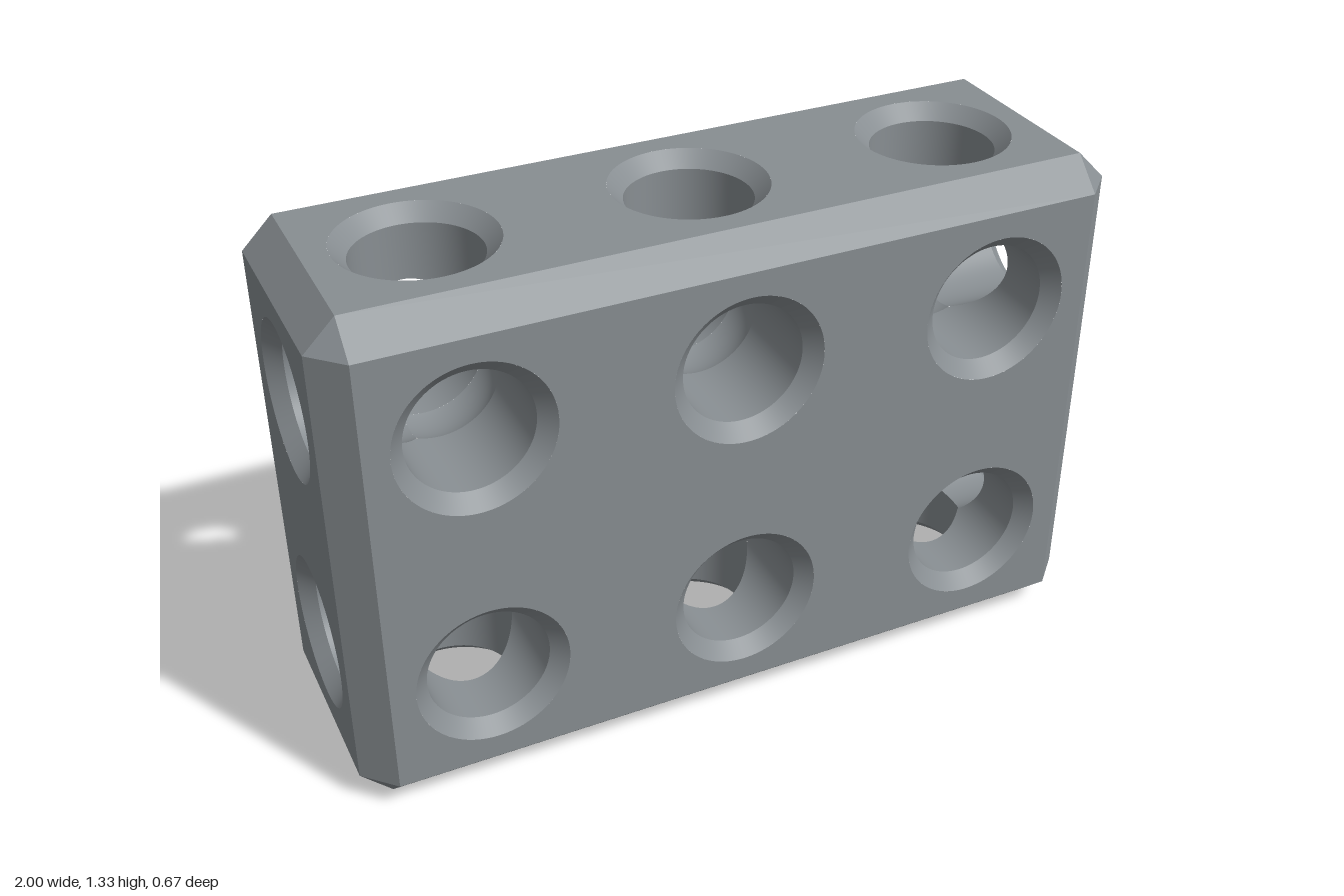
import * as THREE from 'three';
import { ConvexGeometry } from 'three/addons/geometries/ConvexGeometry.js';

const CELL = 2 / 3;                          // block is 3 x 2 x 1 cubic cells
const HALF = new THREE.Vector3(1, CELL, CELL / 2);
const CHAMFER = 0.077, BORE = 0.155, RIM = 0.193, SINK = 0.038;
const BALL = 0.165;                          // spherical pocket where bores meet
const BAND = Math.sqrt(BALL * BALL - BORE * BORE);
const SEGMENTS = 96;
const UP = new THREE.Vector3(0, 1, 0);
const material = new THREE.MeshStandardMaterial({ color: 0x888e92 });

const axis = (k, sign = 1) => new THREE.Vector3().setComponent(k, sign);

// Cells with the directions in which a bore leaves through an outer face
function makeCells() {
  const cells = [];
  for (const i of [-1, 0, 1]) for (const j of [-1, 1]) {
    const dirs = [axis(2, 1), axis(2, -1), axis(1, j)];
    if (i) dirs.push(axis(0, i));
    cells.push({ i, j, centre: new THREE.Vector3(i * CELL, j * CELL / 2, 0), dirs });
  }
  return cells;
}

// One flat side of the block, pierced by the countersink rims
function faceGeometry(k, sign, cells) {
  const d = axis(k, sign), u = axis((k + 1) % 3, sign), v = axis((k + 2) % 3);
  const a = HALF.getComponent((k + 1) % 3) - CHAMFER;
  const b = HALF.getComponent((k + 2) % 3) - CHAMFER;
  const shape = new THREE.Shape().moveTo(-a, -b).lineTo(a, -b).lineTo(a, b).lineTo(-a, b);
  for (const { centre, dirs } of cells) {
    if (!dirs.some((e) => e.equals(d))) continue;
    shape.holes.push(new THREE.Path().absarc(centre.dot(u), centre.dot(v), RIM, 0, Math.PI * 2, true));
  }
  const basis = new THREE.Matrix4().makeBasis(u, v, d)
    .setPosition(d.clone().multiplyScalar(HALF.getComponent(k)));
  return new THREE.ShapeGeometry(shape, SEGMENTS).applyMatrix4(basis);
}

// Bevelled edges and corner triangles: the hull without its axis-aligned sides
function chamferGeometry() {
  const points = [];
  for (const x of [-1, 1]) for (const y of [-1, 1]) for (const z of [-1, 1]) for (let k = 0; k < 3; k++) {
    const inset = HALF.clone().subScalar(CHAMFER).setComponent(k, HALF.getComponent(k));
    points.push(inset.multiply(new THREE.Vector3(x, y, z)));
  }
  const p = new ConvexGeometry(points).getAttribute('position');
  const kept = [];
  for (let i = 0; i < p.count; i += 3) {
    const tri = [0, 1, 2].map((n) => new THREE.Vector3().fromBufferAttribute(p, i + n));
    const normal = new THREE.Triangle(...tri).getNormal(new THREE.Vector3());
    if (Math.max(...normal.toArray().map(Math.abs)) < 0.95) kept.push(...tri);
  }
  const geometry = new THREE.BufferGeometry().setFromPoints(kept);
  geometry.computeVertexNormals();
  return geometry;
}

// Inward-facing surface of revolution, from outer to inner end, along d
function inwardLathe(profile, d) {
  const points = profile.map(([r, y]) => new THREE.Vector2(r, y));
  return new THREE.LatheGeometry(points, SEGMENTS)
    .applyQuaternion(new THREE.Quaternion().setFromUnitVectors(UP, d));
}

// Bore wall whose inner end is mitred against the other bores and the pocket
function boreGeometry(d, dirs) {
  const geometry = inwardLathe([[BORE, CELL / 2 - SINK], [BORE, 0]], d);
  const p = geometry.getAttribute('position'), v = new THREE.Vector3();
  for (let i = 0; i < p.count; i++) {
    v.fromBufferAttribute(p, i);
    if (v.dot(d) > 0.01) continue;
    v.addScaledVector(d, Math.max(BAND, ...dirs.filter((e) => e !== d).map((e) => v.dot(e))));
    p.setXYZ(i, v.x, v.y, v.z);
  }
  return geometry;
}

// Inward-facing band of the spherical pocket, left open towards the side bores
function pocketGeometry(i, j) {
  const geometry = new THREE.PlaneGeometry(1, 1, SEGMENTS, 8);
  const p = geometry.getAttribute('position'), normal = geometry.getAttribute('normal');
  const closedMiddle = Math.atan2(j, i) + Math.PI;
  const spread = i ? Math.PI / 4 : 0;
  for (let n = 0; n < p.count; n++) {
    const z = -2 * BAND * p.getY(n);
    const radius = Math.sqrt(BALL * BALL - z * z);
    const angle = closedMiddle + 2 * p.getX(n) * (Math.PI - spread - Math.acos(BAND / radius));
    const x = radius * Math.cos(angle), y = radius * Math.sin(angle);
    p.setXYZ(n, x, y, z);
    normal.setXYZ(n, -x / BALL, -y / BALL, -z / BALL);
  }
  return geometry;
}

export function createModel() {
  const model = new THREE.Group();
  model.name = 'perforatedBlock';
  const body = new THREE.Group();
  body.name = 'body';
  body.position.y = HALF.y;
  model.add(body);
  const add = (parent, name, geometry) => {
    const mesh = new THREE.Mesh(geometry, material);
    mesh.name = name;
    parent.add(mesh);
  };

  // Outer skin
  const cells = makeCells();
  const names = [['leftFace', 'rightFace'], ['topFace', 'bottomFace'], ['frontFace', 'backFace']];
  names.forEach(([plus, minus], k) => {
    add(body, plus, faceGeometry(k, 1, cells));
    add(body, minus, faceGeometry(k, -1, cells));
  });
  add(body, 'chamferedEdges', chamferGeometry());

  // Bores meeting in a shallow pocket at the centre of each cell
  for (const { i, j, centre, dirs } of cells) {
    const junction = new THREE.Group();
    junction.name = 'boreJunction';
    junction.position.copy(centre);
    for (const d of dirs) {
      add(junction, 'countersink', inwardLathe([[RIM, CELL / 2], [BORE, CELL / 2 - SINK]], d));
      add(junction, 'bore', boreGeometry(d, dirs));
    }
    add(junction, 'pocket', pocketGeometry(i, j));
    body.add(junction);
  }
  return model;
}
